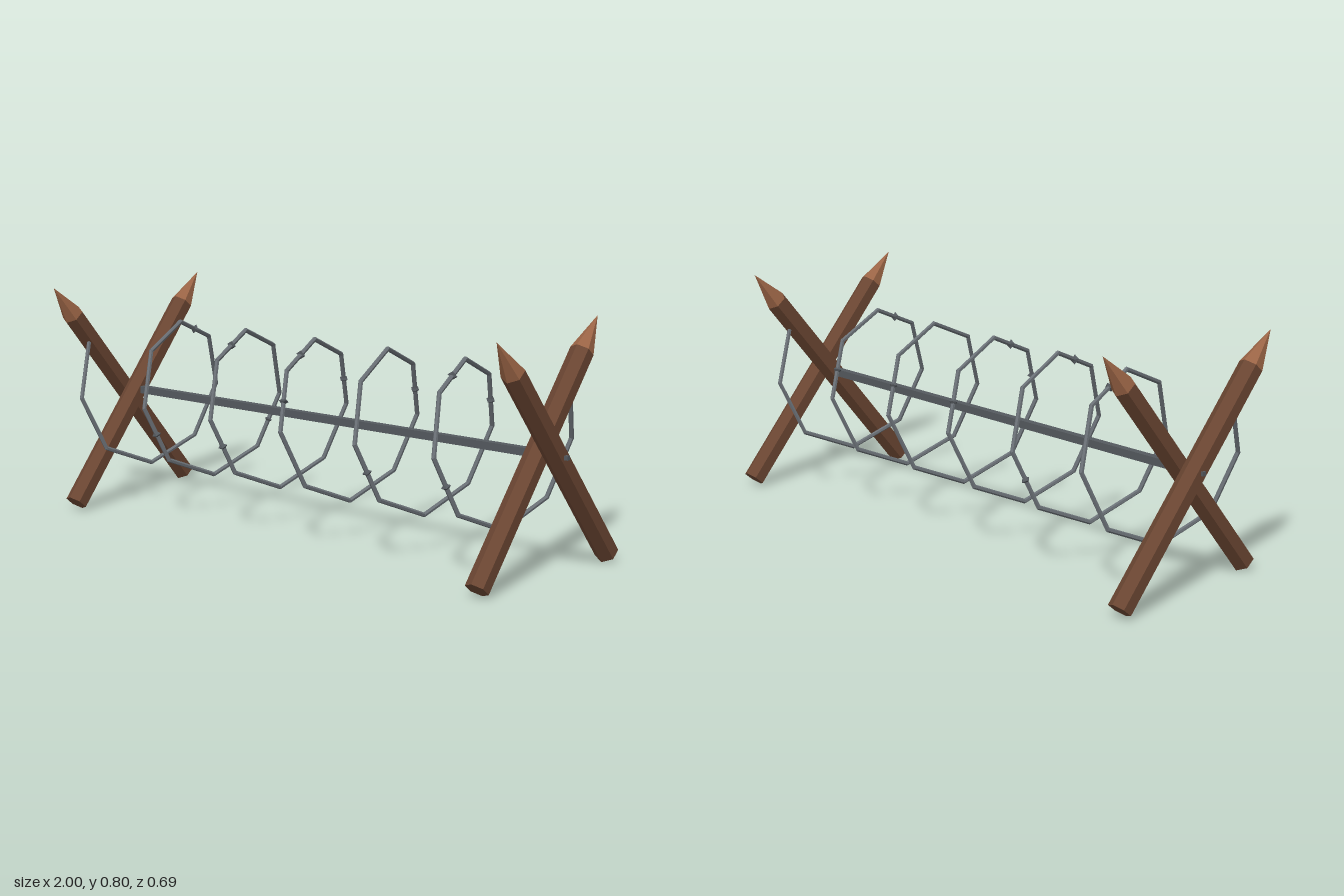
import * as THREE from 'three';

const mat = (name, color) => {
  const m = new THREE.MeshStandardMaterial({ color, flatShading: true });
  m.name = name;
  return m;
};

export function createModel() {
  const wood = mat('wood', 0x6b4632);
  const cutWood = mat('cut wood', 0x9a6445);
  const wireSteel = mat('wire steel', 0x6a7076);
  const darkSteel = mat('dark steel', 0x54595e);

  const model = new THREE.Group();
  model.name = 'barbedWireBarricade';
  const add = (parent, name, geometry, material) => {
    const mesh = new THREE.Mesh(geometry, material);
    mesh.name = name;
    parent.add(mesh);
    return mesh;
  };

  const AXIS_Y = 0.404;

  // Sharpened hexagonal stakes, crossed in pairs at each end
  const R = 0.0395, SHAFT = 0.876, TIP = 0.138, BELOW = 0.492;
  const shaftGeo = new THREE.CylinderGeometry(R, R, SHAFT, 6).translate(0, SHAFT / 2 - BELOW, 0);
  const tipGeo = new THREE.ConeGeometry(R, TIP, 6, 1, true).translate(0, SHAFT - BELOW + TIP / 2, 0);
  for (const [x, lean] of [[-0.958, 1], [-0.89, -1], [0.882, -1], [0.953, 1]]) {
    const stake = new THREE.Group();
    stake.name = 'stake';
    add(stake, 'stakeShaft', shaftGeo, wood);
    add(stake, 'stakeTip', tipGeo, cutWood);
    stake.position.set(x, AXIS_Y, 0);
    stake.rotation.x = lean * THREE.MathUtils.degToRad(40);
    model.add(stake);
  }

  // Central bar with a thin pin through the stakes
  add(model, 'centralBar', new THREE.BoxGeometry(1.74, 0.026, 0.026), darkSteel).position.y = AXIS_Y;
  add(model, 'barPin', new THREE.BoxGeometry(2, 0.014, 0.014), darkSteel).position.y = AXIS_Y;

  // Coiled wire: straight segments, eight to a turn
  const COIL_R = 0.27, PITCH = 0.315, SEGMENTS = 46;
  const point = (i) => {
    const turn = i / 8 - 0.875;
    const a = turn * Math.PI * 2;
    return new THREE.Vector3(-0.66 + PITCH * turn, AXIS_Y + COIL_R * Math.cos(a), COIL_R * Math.sin(a));
  };
  const segLength = point(0).distanceTo(point(1));
  const segGeo = new THREE.CylinderGeometry(0.0078, 0.0078, segLength + 0.005, 6);
  const barbGeo = new THREE.OctahedronGeometry(0.017).scale(1, 0.8, 1);
  const barbed = [6, 9, 12, 15, 17, 21, 23, 24, 29, 33, 37, 39, 41];
  const up = new THREE.Vector3(0, 1, 0);
  const coil = new THREE.Group();
  coil.name = 'wireCoil';
  model.add(coil);
  for (let i = 0; i < SEGMENTS; i++) {
    const a = point(i), b = point(i + 1);
    const mid = a.clone().lerp(b, 0.5);
    const dir = b.clone().sub(a).normalize();
    const place = (mesh) => {
      mesh.position.copy(mid);
      mesh.quaternion.setFromUnitVectors(up, dir);
    };
    place(add(coil, 'wireSegment', segGeo, wireSteel));
    if (barbed.includes(i)) place(add(coil, 'barb', barbGeo, darkSteel));
  }

  return model;
}
